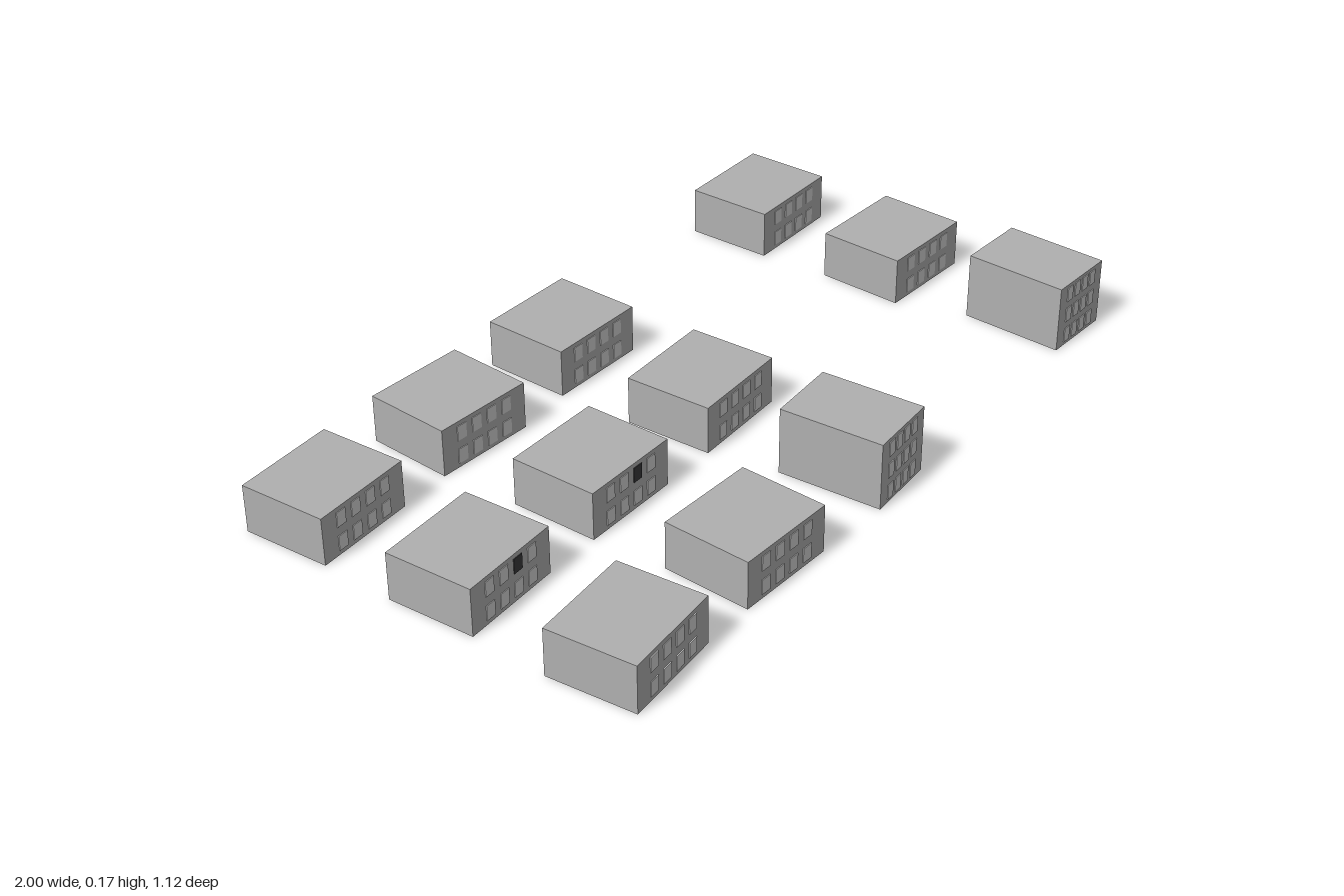
import * as THREE from 'three';

const flat = (name, color) => {
  const m = new THREE.MeshStandardMaterial({ color });
  m.name = name;
  return m;
};

export function createModel() {
  const wallGrey = flat('wallGrey', 0xb0b0b0);
  const paleGlass = flat('paleGlass', 0xd6d6d6);
  const darkGlass = flat('darkGlass', 0x3a3a3c);
  const doorBrown = flat('doorBrown', 0x5e3d1c);

  const addBox = (parent, name, size, pos, material) => {
    const mesh = new THREE.Mesh(new THREE.BoxGeometry(...size), material);
    mesh.name = name;
    mesh.position.set(...pos);
    parent.add(mesh);
  };

  // One block: plain walls, window grids front and back, door at the back corner
  function building({ x, z, turn, w = 0.27, d = 0.23, h = 0.125, floors = 2, dark = [] }) {
    const g = new THREE.Group();
    g.name = 'building';
    addBox(g, 'walls', [w, h, d], [0, h / 2, 0], wallGrey);

    const pitch = w * 0.18, storey = h / floors;
    for (const side of [1, -1]) {
      for (let floor = 0; floor < floors; floor++) {
        for (let col = 0; col < 4; col++) {
          const key = (side > 0 ? 'f' : 'b') + floor + col;
          addBox(g, side > 0 ? 'frontWindow' : 'backWindow',
            [w * 0.065 + 0.011, 0.039, 0.004],
            [(col - 1.5) * pitch, (floor + 0.5) * storey, side * d / 2],
            dark.includes(key) ? darkGlass : paleGlass);
        }
      }
    }
    addBox(g, 'door', [0.03, 0.05, 0.005], [w / 2, 0.025, -d / 2 - 0.002], doorBrown);

    g.position.set(x, 0, z);
    g.rotation.y = turn;
    return g;
  }

  const tall = { w: 0.19, d: 0.27, h: 0.175, floors: 3 };
  const columns = [-0.858, -0.433, -0.01, 0.842];
  // Each row: depth position, then the turn and options of its four blocks
  const rows = [
    { z: -0.435, blocks: [
      [0.035, { dark: ['b11'] }], [-0.075, { dark: ['b12'] }],
      [-0.035, { dark: ['b01'] }], [-0.01, { dark: ['b12'] }]] },
    { z: -0.011, blocks: [
      [0.033, { dark: ['f12'] }], [-0.015, { dark: ['f12', 'b11'] }],
      [0.02, { dark: ['b12'] }], [-0.06, { dark: ['b11'] }]] },
    { z: 0.416, blocks: [
      [0.07, { dark: ['b12'] }], [-0.06, { dark: ['b11'] }],
      [0.045, { ...tall, dark: ['b12'] }], [-0.06, { ...tall, dark: ['b21'] }]] },
  ];

  const model = new THREE.Group();
  model.name = 'buildingEstate';
  for (const { z, blocks } of rows) {
    blocks.forEach(([turn, options], i) => model.add(building({ x: columns[i], z, turn, ...options })));
  }
  return model;
}
